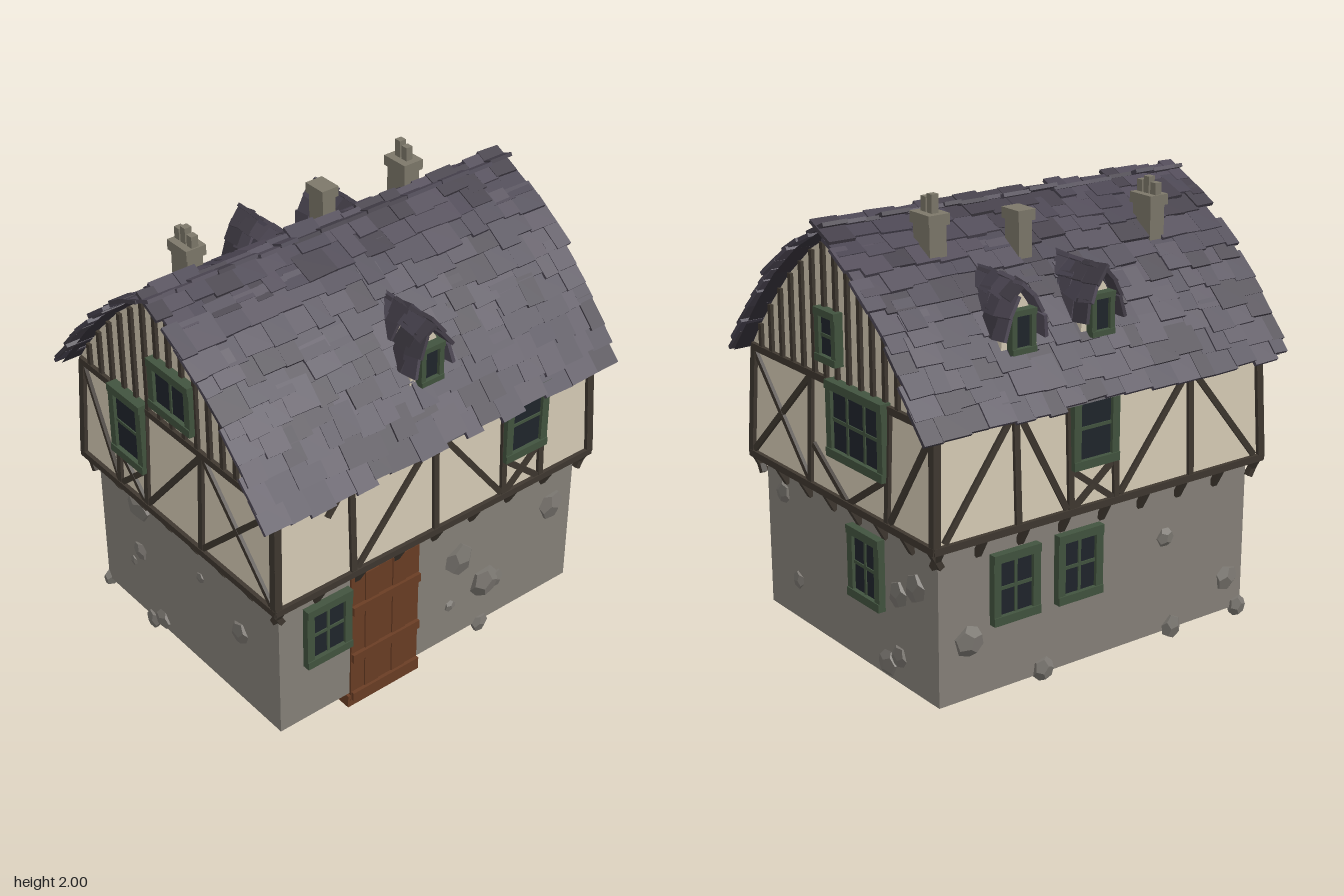
import * as THREE from 'three';
import { mergeGeometries } from 'three/addons/utils/BufferGeometryUtils.js';

const mat = (color, extra = {}) => new THREE.MeshStandardMaterial({ color, flatShading: true, ...extra });
const both = { side: THREE.DoubleSide };
const M = {
  stoneWall: mat(0x87827a, both), plaster: mat(0xd6cbb5, both), timber: mat(0x3f3830),
  green: mat(0x42543f), glass: mat(0x1f252c), door: mat(0x6a3d24), rock: mat(0x7a7670),
  chimney: mat(0x7d786a), deck: mat(0x35313a, both),
  tiles: [mat(0x4a4552), mat(0x443f49), mat(0x514b58)],
};
let seed = 7;
const rnd = (a = 0, b = 1) => {
  seed = (seed * 16807) % 2147483647;
  return a + (b - a) * seed / 2147483647;
};
const V = (x, y, z) => new THREE.Vector3(x, y, z);

// Half profile of the curved roof, ridge to eave
const ROOF = [[0, 1.865], [0.18, 1.765], [0.36, 1.62], [0.5, 1.475], [0.62, 1.33], [0.715, 1.215]];
const roofY = (x) => {
  const a = Math.abs(x);
  const i = Math.max(1, ROOF.findIndex((p) => p[0] >= a));
  const [p, q] = [ROOF[i - 1], ROOF[i]];
  return p[1] + (q[1] - p[1]) * (a - p[0]) / (q[0] - p[0]);
};

function add(parent, geo, material, name, x = 0, y = 0, z = 0) {
  const m = new THREE.Mesh(geo, material);
  m.name = name;
  m.position.set(x, y, z);
  parent.add(m);
  return m;
}
const box = (parent, w, h, d, material, name, x, y, z) =>
  add(parent, new THREE.BoxGeometry(w, h, d), material, name, x, y, z);

// Box beam between two points
function beam(parent, a, b, w, d, name) {
  const m = box(parent, w, a.distanceTo(b), d, M.timber, name);
  m.position.copy(a).add(b).multiplyScalar(0.5);
  m.quaternion.setFromUnitVectors(V(0, 1, 0), b.clone().sub(a).normalize());
}

// Rectangular wall band through rings of [halfX, y, halfZ]
function band(parent, rings, material, name) {
  const pos = [];
  for (let r = 0; r + 1 < rings.length; r++) {
    const c = ([x, y, z]) => [[-x, y, z], [x, y, z], [x, y, -z], [-x, y, -z]];
    const lo = c(rings[r]), hi = c(rings[r + 1]);
    for (let i = 0; i < 4; i++) {
      const j = (i + 1) % 4;
      pos.push(...lo[i], ...lo[j], ...hi[j], ...lo[i], ...hi[j], ...hi[i]);
    }
  }
  const g = new THREE.BufferGeometry();
  g.setAttribute('position', new THREE.Float32BufferAttribute(pos, 3));
  g.computeVertexNormals();
  add(parent, g, material, name);
}

// Framed window with nx by ny panes
function windowUnit(parent, [x, y, w, h, nx, ny], z) {
  const g = new THREE.Group();
  g.name = 'window';
  g.position.set(x, y, z);
  parent.add(g);
  const t = Math.min(0.036, w * 0.2);
  box(g, w - t, h - t, 0.03, M.glass, 'glass', 0, 0, 0);
  for (const s of [-1, 1]) {
    box(g, t, h - t, 0.06, M.green, 'frameSide', s * (w - t) / 2, 0, 0);
    box(g, w, t, 0.07, M.green, 'frameRail', 0, s * (h - t) / 2, 0);
  }
  for (let i = 1; i < nx; i++) box(g, 0.014, h - t, 0.04, M.green, 'mullion', (i / nx - 0.5) * (w - t), 0, 0);
  for (let i = 1; i < ny; i++) box(g, w - t, 0.014, 0.04, M.green, 'glazingBar', 0, (i / ny - 0.5) * (h - t), 0);
}

function stone(parent, [x, y, r], z) {
  const m = add(parent, new THREE.DodecahedronGeometry(r), M.rock, 'stone', x, y, z);
  m.scale.set(1.05, 0.95, 0.5);
  m.rotation.z = rnd(0, 6);
}

// One house side: local x runs along the wall, z points outwards
function side(house, s) {
  const g = new THREE.Group();
  g.name = s.name;
  g.rotation.y = s.turn;
  house.add(g);
  const out = (y) => s.d + 0.04 - 0.02 * (y - 0.76) / 0.48;
  const at = (x, y) => V(x, y, out(y));
  const hw = s.half + 0.04;
  for (const [y, w] of [[0.76, hw + 0.012], [1.235, hw - 0.01]]) beam(g, at(-w, y), at(w, y), 0.03, 0.035, 'rail');
  for (const x of s.posts) beam(g, at(x, 0.76), at(x, 1.235), 0.027, 0.03, 'post');
  for (const e of [-1, 1]) beam(g, at(e * hw, 0.76), at(e * (hw - 0.02), 1.235), 0.034, 0.034, 'cornerPost');
  for (const [x0, y0, x1, y1] of s.braces) beam(g, at(x0, y0), at(x1, y1), 0.026, 0.026, 'brace');
  for (let i = 0; i < s.corbels; i++) {
    const x = (i / (s.corbels - 1) * 2 - 1) * (s.half + 0.02);
    beam(g, V(x, 0.675, s.d), V(x, 0.755, s.d + 0.045), 0.026, 0.026, 'corbel');
  }
  for (const w of s.windows) windowUnit(g, w, w[1] > 0.75 ? out(Math.min(w[1], 1.24)) + 0.008 : s.d);
  for (const st of s.stones) stone(g, st, s.d);
  return g;
}

// Two braces crossing in a panel
const cross = (a, b, y0, y1) => [[a, y0, b, y1], [a, y1, b, y0]];

// Thin tile placed by a matrix and collected per shade
const bins = [[], [], []];
function tile(w, len, frame) {
  const g = new THREE.BoxGeometry(len, 0.016, w);
  bins[Math.floor(rnd(0, 2.999))].push(g.applyMatrix4(frame));
}
function slopeFrame(x, y, z, slope, yaw) {
  return new THREE.Matrix4().makeTranslation(x, y, z)
    .multiply(new THREE.Matrix4().makeRotationZ(slope))
    .multiply(new THREE.Matrix4().makeRotationY(yaw));
}

function dormer(house, sgn, z) {
  const g = new THREE.Group();
  g.name = 'dormer';
  g.position.z = z;
  g.rotation.y = sgn * Math.PI / 2;
  house.add(g);
  const s = new THREE.Shape();
  s.moveTo(-0.09, 1.4);
  s.lineTo(0.09, 1.4);
  s.quadraticCurveTo(0.085, 1.58, 0, 1.67);
  s.quadraticCurveTo(-0.085, 1.58, -0.09, 1.4);
  const body = new THREE.ExtrudeGeometry(s, { depth: 0.3, bevelEnabled: false, curveSegments: 4 });
  add(g, body, M.plaster, 'dormerWall', 0, 0, 0.26);
  windowUnit(g, [0, 1.515, 0.115, 0.175, 1, 1], 0.565);
  g.updateMatrix();
  // tiles wrapped over both curved slopes
  for (const e of [-1, 1]) for (let k = 0; k < 4; k++) {
    const zz = 0.34 + k * 0.075;
    for (const [x, y, a] of [[0.024, 1.668, -0.85], [0.062, 1.61, -1.05], [0.088, 1.53, -1.3]]) {
      if (y < roofY(zz) - 0.03) continue;
      const f = slopeFrame(e * x, y + rnd(0, 0.012), zz + rnd(-0.015, 0.015), e * (a + rnd(-0.1, 0.2)), rnd(-0.2, 0.2));
      tile(rnd(0.075, 0.1), 0.095, g.matrix.clone().multiply(f));
    }
  }
}

function roof(house) {
  // curved deck below the tiles
  const full = [...ROOF.slice(1).reverse().map(([x, y]) => [-x, y]), ...ROOF];
  const pos = [];
  for (let i = 0; i + 1 < full.length; i++) {
    const [[a, b], [c, d]] = [full[i], full[i + 1]];
    pos.push(a, b, 0.89, c, d, 0.89, c, d, -0.89, a, b, 0.89, c, d, -0.89, a, b, -0.89);
  }
  const deck = new THREE.BufferGeometry();
  deck.setAttribute('position', new THREE.Float32BufferAttribute(pos, 3));
  deck.computeVertexNormals();
  add(house, deck, M.deck, 'roofDeck');
  // overlapping rows of uneven tiles on both slopes
  const path = new THREE.CatmullRomCurve3(ROOF.map(([x, y]) => V(x, y, 0)));
  const rows = 11;
  for (const e of [-1, 1]) for (let r = 0; r < rows; r++) {
    const u = 0.02 + 0.92 * r / (rows - 1);
    const t = path.getTangentAt(u);
    let z = -0.93 + rnd(0, 0.035);
    while (z < 0.88) {
      const w = Math.min(rnd(0.065, 0.14), 0.93 - z);
      const p = path.getPointAt(Math.min(0.95, Math.max(0, u + rnd(-0.018, 0.018))));
      const a = Math.atan2(t.y, t.x) + 0.07;
      const lift = 0.01 + rnd(0, 0.01);
      tile(w + 0.006, rnd(0.125, 0.155), slopeFrame(e * (p.x - t.y * lift), p.y + t.x * lift, z + w / 2, e * a, rnd(-0.04, 0.04)));
      z += w;
    }
  }
}

export function createModel() {
  seed = 7;
  bins.forEach((b) => { b.length = 0; });
  const house = new THREE.Group();
  house.name = 'house';

  // Walls
  band(house, [[0.63, 0.07, 0.8], [0.63, 0.755, 0.8]], M.stoneWall, 'lowerWall');
  band(house, [[0.63, 0.755, 0.8], [0.67, 0.756, 0.84], [0.65, 1.24, 0.82]], M.plaster, 'upperWall');

  // Gables with upright slats
  const outline = [...ROOF.map(([x, y]) => [x, y - 0.012]), ...ROOF.slice(1).reverse().map(([x, y]) => [-x, y - 0.012])]
    .map(([x, y]) => new THREE.Vector2(Math.max(-0.68, Math.min(0.68, x)), Math.max(1.235, y)));
  for (const e of [-1, 1]) {
    add(house, new THREE.ShapeGeometry(new THREE.Shape(outline)), M.plaster, 'gable', 0, 0, e * 0.82);
    for (let i = -7; i <= 7; i++) {
      const h = roofY(i * 0.084) - 0.02 - 1.24;
      box(house, 0.022, h, 0.024, M.timber, 'gableSlat', i * 0.084, 1.24 + h / 2, e * 0.823);
    }
  }

  // Four sides
  side(house, {
    name: 'frontSide', turn: 0, d: 0.8, half: 0.63, corbels: 8, posts: [-0.39, -0.19, 0.19],
    braces: [[-0.64, 1.21, -0.4, 0.78], [-0.18, 0.78, 0.18, 1.21], ...cross(0.2, 0.65, 0.78, 1.22), ...cross(-0.38, -0.2, 0.77, 0.93)],
    windows: [[0.027, 1.425, 0.28, 0.23, 2, 1], [-0.295, 1.1, 0.23, 0.335, 1, 2]],
    stones: [[-0.33, 0.65, 0.075], [-0.345, 0.4, 0.045], [-0.405, 0.31, 0.025], [0.1, 0.54, 0.026], [0.37, 0.43, 0.055], [-0.2, 0.11, 0.05], [-0.28, 0.06, 0.045]],
  });
  side(house, {
    name: 'backSide', turn: Math.PI, d: 0.8, half: 0.63, corbels: 8, posts: [-0.2, 0.36],
    braces: [...cross(-0.65, -0.21, 0.78, 1.22), [0.38, 0.78, 0.64, 1.21], [-0.18, 0.94, 0.07, 0.77], [0.34, 0.94, 0.09, 0.77]],
    windows: [[-0.04, 1.43, 0.15, 0.22, 1, 2], [0.16, 1.1, 0.4, 0.32, 3, 2], [0.15, 0.505, 0.23, 0.31, 2, 2]],
    stones: [[0.36, 0.46, 0.06], [0.48, 0.53, 0.065], [0.28, 0.13, 0.06], [0.36, 0.19, 0.05], [-0.5, 0.62, 0.05], [-0.4, 0.25, 0.04]],
  });
  const right = side(house, {
    name: 'rightSide', turn: Math.PI / 2, d: 0.63, half: 0.8, corbels: 9, posts: [-0.46, -0.03, 0.34, 0.55],
    braces: [[-0.44, 0.78, -0.05, 1.21], [0, 1.21, 0.33, 0.78], [-0.58, 1.09, -0.47, 1.22], ...cross(0.35, 0.54, 0.77, 0.93)],
    windows: [[0.445, 1.1, 0.23, 0.33, 1, 2], [-0.565, 0.51, 0.23, 0.3, 2, 2]],
    stones: [[0.15, 0.49, 0.08], [0.3, 0.29, 0.08], [0.37, 0.27, 0.045], [0.68, 0.52, 0.07], [0.11, 0.25, 0.03], [0.29, 0.06, 0.045]],
  });
  side(house, {
    name: 'leftSide', turn: -Math.PI / 2, d: 0.63, half: 0.8, corbels: 9, posts: [-0.45, -0.19, 0.04, 0.44],
    braces: [[-0.8, 0.78, -0.47, 1.21], [-0.43, 1.21, -0.21, 0.78], [0.06, 0.78, 0.42, 1.21], [0.46, 1.21, 0.8, 0.78], ...cross(-0.18, 0.03, 0.77, 0.93)],
    windows: [[-0.075, 1.1, 0.23, 0.33, 1, 2], [-0.44, 0.51, 0.23, 0.3, 2, 2], [-0.12, 0.51, 0.23, 0.3, 2, 2]],
    stones: [[-0.66, 0.32, 0.07], [-0.29, 0.09, 0.055], [0.4, 0.08, 0.055], [0.71, 0.22, 0.06], [0.35, 0.5, 0.045], [0.78, 0.07, 0.05]],
  });

  // Plank door with battens and a sill
  for (let i = 0; i < 5; i++) box(right, 0.07, 0.66, 0.05, M.door, 'doorPlank', -0.26 + (i - 2) * 0.072, 0.36, 0.614 + (i % 2) * 0.004);
  for (const y of [0.525, 0.27, 0.06]) box(right, 0.355, 0.042, 0.02, M.door, 'doorBatten', -0.26, y, 0.645);
  box(right, 0.385, 0.06, 0.075, M.door, 'doorSill', -0.26, 0.03, 0.6);

  // Chimneys: x, z, width, depth, cap top, pot heights
  for (const [x, z, w, d, top, pots] of [[-0.19, -0.51, 0.13, 0.1, 1.925, [0.075, 0.06]], [-0.255, -0.13, 0.11, 0.085, 1.9, []], [-0.265, 0.54, 0.13, 0.095, 1.87, [0.05, 0.07, 0.05]]]) {
    box(house, w - 0.02, top - 1.56, d - 0.02, M.chimney, 'chimneyStack', x, (top + 1.56) / 2 - 0.01, z);
    box(house, w, 0.045, d, M.chimney, 'chimneyCap', x, top - 0.0225, z);
    pots.forEach((h, i) => box(house, 0.032, h, 0.032, M.chimney, 'chimneyPot', x + (i - (pots.length - 1) / 2) * 0.042, top + h / 2, z));
  }

  // Roof and dormers
  roof(house);
  dormer(house, 1, 0);
  dormer(house, -1, -0.36);
  dormer(house, -1, 0.03);
  bins.forEach((b, i) => add(house, mergeGeometries(b), M.tiles[i], 'roofTiles'));
  return house;
}
